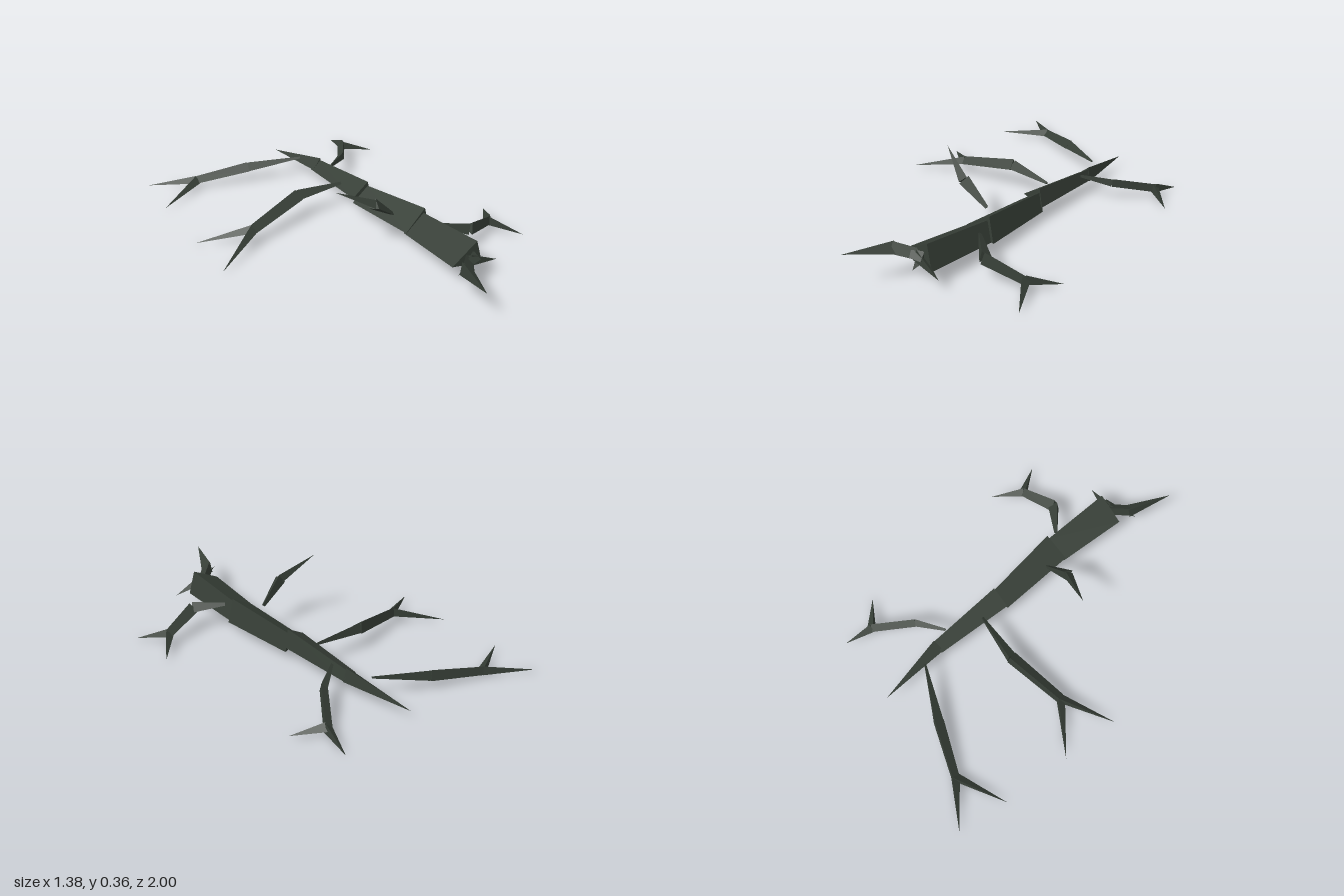
import * as THREE from 'three';

const bark = new THREE.MeshStandardMaterial({ color: 0x363e36, flatShading: true });
bark.name = 'darkBark';

// Three-sided tapered prism from a to b; "flat" squashes its height.
const ROLL = Math.PI / 9;
function limb(name, a, b, r0, r1, flat = 1) {
  const start = new THREE.Vector3(...a);
  const end = new THREE.Vector3(...b);
  const dir = end.clone().sub(start);
  const geo = new THREE.CylinderGeometry(r1, r0, dir.length(), 3, 1, false, ROLL);
  geo.scale(1, 1, flat);
  dir.normalize();
  const side = dir.clone().cross(new THREE.Vector3(0, 1, 0)).normalize();
  const up = side.clone().cross(dir);
  const m = new THREE.Matrix4().makeBasis(side, dir, up);
  m.setPosition(start.add(end).multiplyScalar(0.5));
  geo.applyMatrix4(m);
  const mesh = new THREE.Mesh(geo, bark);
  mesh.name = name;
  return mesh;
}

// Branch made of a chain of limbs, ending in pointed twigs.
function branch(name, points, radii, tips) {
  const g = new THREE.Group();
  g.name = name;
  for (let i = 0; i < points.length - 1; i++) {
    g.add(limb('branchPiece', points[i], points[i + 1], radii[i][0], radii[i][1]));
  }
  const fork = points[points.length - 1];
  for (const tip of tips) g.add(limb('twig', fork, tip, 0.026, 0));
  return g;
}

export function createModel() {
  const root = new THREE.Group();
  root.name = 'fallenTree';

  // Trunk: each piece narrows, and the next starts a little wider
  const trunk = new THREE.Group();
  trunk.name = 'trunk';
  const pieces = [
    [[0, 0.134, 0.77], [0.09, 0.11, 0.42], 0.11, 0.092, 0.66],
    [[0.097, 0.118, 0.425], [0.153, 0.09, 0.03], 0.098, 0.074, 0.77],
    [[0.153, 0.115, 0.035], [0.24, 0.09, -0.36], 0.074, 0.045, 0.75],
    [[0.24, 0.093, -0.35], [0.275, 0.055, -0.71], 0.043, 0, 1],
  ];
  for (const piece of pieces) trunk.add(limb('trunkPiece', ...piece));
  root.add(trunk);

  // Side branches
  root.add(
    branch('rearRightBranch',
      [[0.22, 0.11, -0.47], [0, 0.075, -0.65], [-0.23, 0.037, -0.81]],
      [[0.006, 0.03], [0.032, 0.025]],
      [[-0.41, 0.015, -1], [-0.505, 0.015, -0.75]]),
    branch('middleRightBranch',
      [[0.14, 0.12, -0.11], [-0.1, 0.122, -0.19], [-0.41, 0.07, -0.2]],
      [[0.008, 0.032], [0.036, 0.028]],
      [[-0.605, 0, -0.41], [-0.69, 0.012, -0.12]]),
    branch('rearLeftBranch',
      [[0.25, 0.12, -0.27], [0.4, 0.097, -0.325], [0.575, 0.048, -0.47]],
      [[0.008, 0.022], [0.023, 0.024]],
      [[0.64, 0.005, -0.61], [0.685, 0.015, -0.345]]),
    branch('frontLeftBranch',
      [[0.12, 0.13, 0.49], [0.225, 0.112, 0.62], [0.42, 0.058, 0.61]],
      [[0.01, 0.034], [0.035, 0.025]],
      [[0.555, 0.015, 0.5], [0.485, 0.008, 0.775]]),
    branch('upperBranch',
      [[0.04, 0.15, 0.3], [-0.09, 0.255, 0.29]],
      [[0.01, 0.033]],
      [[-0.25, 0.357, 0.185]]),
  );
  root.getObjectByName('upperBranch').children[1].scale.setScalar(1);

  // Splintered root end
  const splinters = new THREE.Group();
  splinters.name = 'splinteredEnd';
  splinters.add(
    limb('longSplinterBase', [0, 0.12, 0.76], [-0.12, 0.155, 0.82], 0.03, 0.033),
    limb('longSplinter', [-0.11, 0.15, 0.81], [-0.24, 0.183, 1], 0.037, 0),
    limb('sideSplinter', [-0.02, 0.13, 0.77], [0.13, 0.08, 0.83], 0.032, 0),
    limb('shortSplinter', [0.02, 0.13, 0.78], [-0.16, 0.14, 0.81], 0.03, 0),
    limb('lowSplinter', [0, 0.12, 0.76], [-0.02, 0.07, 0.81], 0.03, 0),
  );
  root.add(splinters);

  return root;
}
